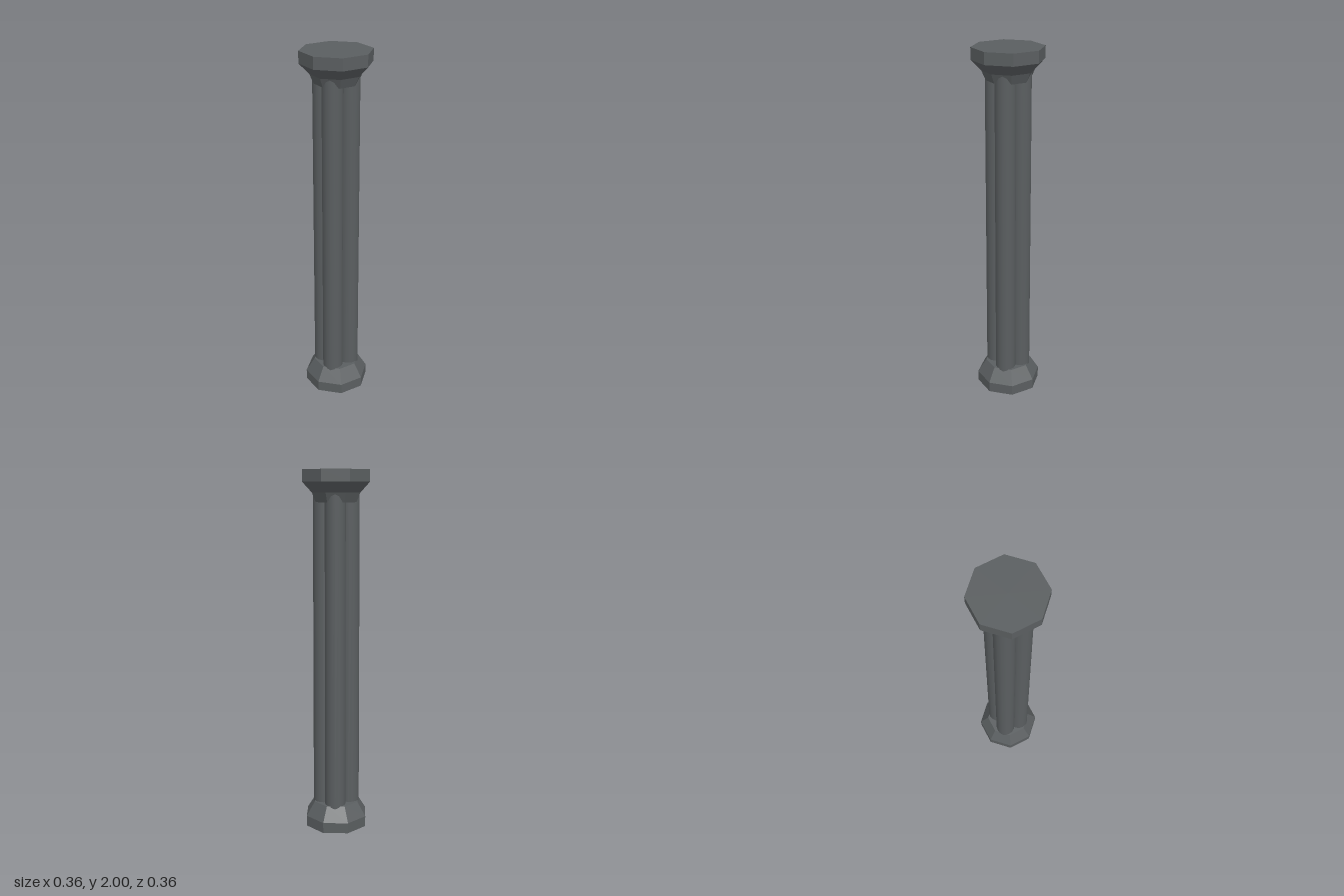
import * as THREE from 'three';

const stone = new THREE.MeshStandardMaterial({ color: 0x5a5e60 });
stone.name = 'dark grey stone';

// Faceted eight-sided block from [flat-to-centre distance, height] pairs, bottom to top
function octagonBlock(name, profile) {
  const points = profile.map(([a, y]) => new THREE.Vector2(a / Math.cos(Math.PI / 8), y));
  const geometry = new THREE.LatheGeometry(points, 8, Math.PI / 8).toNonIndexed();
  geometry.computeVertexNormals();
  const mesh = new THREE.Mesh(geometry, stone);
  mesh.name = name;
  return mesh;
}

export function createModel() {
  const column = new THREE.Group();
  column.name = 'clusteredColumn';

  // Base and capital
  column.add(octagonBlock('base', [[0, 0], [0.168, 0], [0.168, 0.06], [0.122, 0.14], [0, 0.14]]));
  column.add(octagonBlock('capital', [[0, 1.83], [0.108, 1.83], [0.128, 1.88], [0.178, 1.936], [0.178, 2], [0, 2]]));

  // Four slightly tapering shafts bundled together
  const bottom = 0.08, top = 1.89, taper = 0.96;
  const shafts = new THREE.Group();
  shafts.name = 'shafts';
  for (const sx of [-1, 1]) {
    for (const sz of [-1, 1]) {
      const geometry = new THREE.CylinderGeometry(0.058, 0.058, top - bottom, 16, 1, true);
      geometry.translate(sx * 0.054, (top + bottom) / 2, sz * 0.048);
      // Draw the upper end in towards the column's axis
      const p = geometry.attributes.position;
      for (let i = 0; i < p.count; i++) {
        const k = THREE.MathUtils.mapLinear(p.getY(i), bottom, top, 1, taper);
        p.setXYZ(i, p.getX(i) * k, p.getY(i), p.getZ(i) * k);
      }
      const shaft = new THREE.Mesh(geometry, stone);
      shaft.name = (sz > 0 ? 'front' : 'back') + (sx > 0 ? 'Left' : 'Right') + 'Shaft';
      shafts.add(shaft);
    }
  }
  column.add(shafts);
  return column;
}
